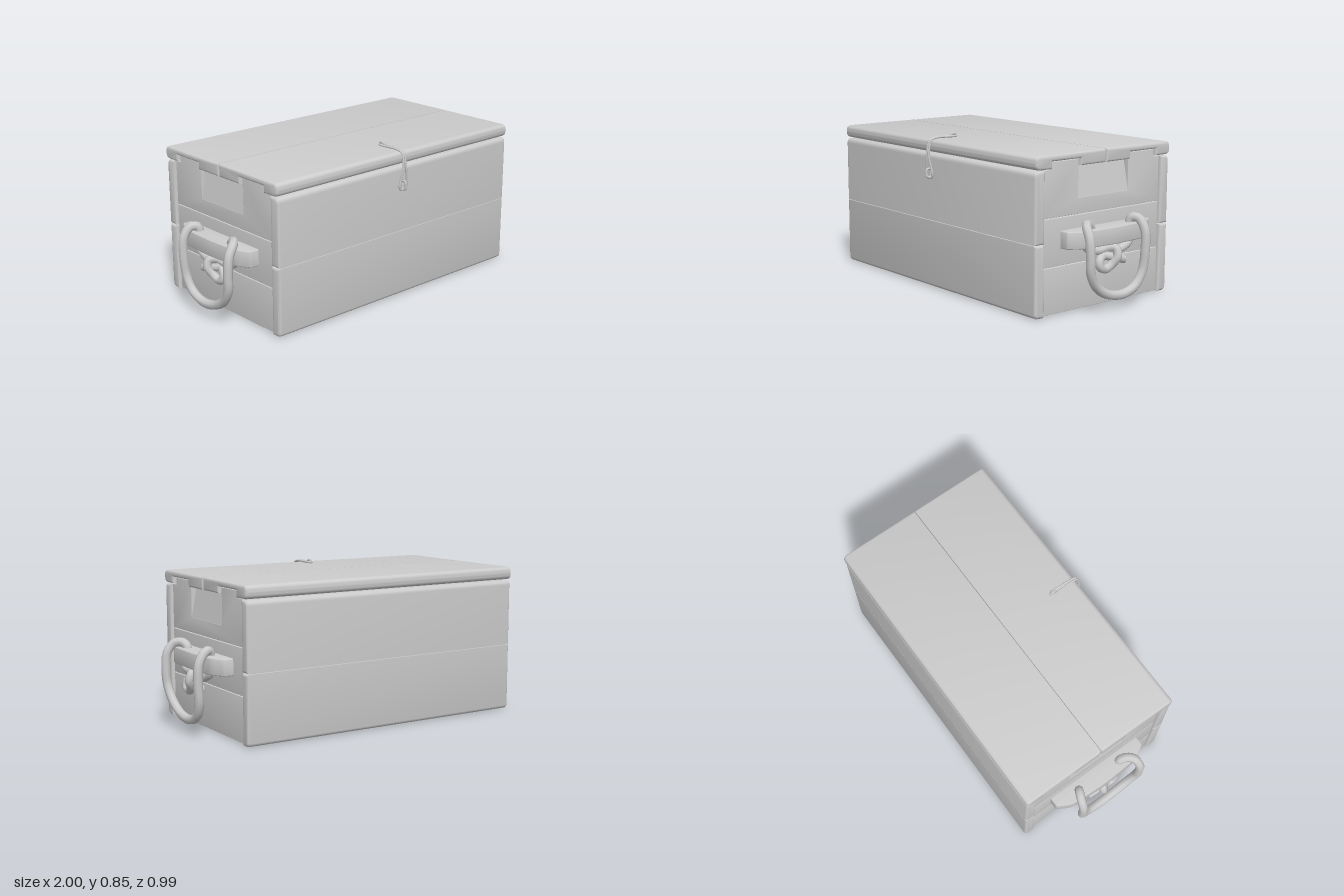
import * as THREE from 'three';
import { toCreasedNormals } from 'three/addons/utils/BufferGeometryUtils.js';

const grey = new THREE.MeshStandardMaterial({ color: 0xcccccc });
grey.name = 'plain grey';

function add(parent, name, geometry) {
  const mesh = new THREE.Mesh(geometry, grey);
  mesh.name = name;
  parent.add(mesh);
  return mesh;
}

// Outline from [u, v, radius] corners; radius 0 or missing stays sharp
function outline(corners) {
  const shape = new THREE.Shape();
  const n = corners.length;
  corners.forEach(([u, v, r = 0], i) => {
    const p = new THREE.Vector2(u, v);
    const toward = ([a, b]) => new THREE.Vector2(a, b).sub(p).setLength(r).add(p);
    const a = r ? toward(corners[(i + n - 1) % n]) : p;
    if (i === 0) shape.moveTo(a.x, a.y);
    else shape.lineTo(a.x, a.y);
    if (r) {
      const b = toward(corners[(i + 1) % n]);
      shape.quadraticCurveTo(u, v, b.x, b.y);
    }
  });
  shape.closePath();
  return shape;
}

// Extrusion centred on its depth, with its ends softened inside the outline
function extrude(corners, depth, bevel) {
  const geo = new THREE.ExtrudeGeometry(outline(corners), {
    depth: depth - 2 * bevel, curveSegments: 6, bevelEnabled: bevel > 0,
    bevelSize: bevel, bevelThickness: bevel, bevelOffset: -bevel, bevelSegments: 3,
  });
  geo.translate(0, 0, -(depth - 2 * bevel) / 2);
  return geo;
}

// Board running along x, with its cross-section given as [z, y, radius]
function board(parent, name, corners, x, width, bevel) {
  const geo = extrude(corners, width, bevel).rotateY(-Math.PI / 2);
  geo.translate(x, 0, 0);
  return add(parent, name, toCreasedNormals(geo, 0.7));
}

function tube(parent, name, points, radius, closed = false, steps = 6, sides = 8) {
  const path = new THREE.CatmullRomCurve3(points.map((p) => new THREE.Vector3(...p)), closed);
  return add(parent, name, new THREE.TubeGeometry(path, points.length * steps, radius, sides, closed));
}

function endAssembly(s) {
  const end = new THREE.Group();
  end.name = s > 0 ? 'leftEnd' : 'rightEnd';

  // End boards; the top one has two tabs and a cut-out between them
  const x = s * 0.81;
  for (const [lo, hi] of [[0.008, 0.248], [0.252, 0.498]]) {
    board(end, 'endBoard', [[-0.428, lo], [0.388, lo], [0.388, hi], [-0.428, hi]], x, 0.05, 0.002);
  }
  board(end, 'tabbedEndBoard', [
    [0.388, 0.502], [0.388, 0.745], [0.345, 0.745], [0.345, 0.783], [0.157, 0.783], [0.157, 0.585],
    [-0.198, 0.585], [-0.198, 0.783], [-0.385, 0.783], [-0.385, 0.745], [-0.428, 0.745], [-0.428, 0.502],
  ], x, 0.05, 0.002);

  // Sloping panel in the cut-out
  const ramp = extrude([[0.78, 0.58], [0.835, 0.585], [0.8, 0.755], [0.78, 0.755]]
    .map(([a, b]) => [s * a, b]), 0.355, 0);
  ramp.translate(0, 0, -0.0205);
  add(end, 'slopedPanel', ramp);

  // Cleat that holds the rope, tapered toward its ends
  const cleat = extrude([
    [0.82, -0.275], [0.885, -0.275, 0.008], [0.928, -0.2, 0.03], [0.94, 0.02, 0.05],
    [0.928, 0.24, 0.03], [0.885, 0.315, 0.008], [0.82, 0.315],
  ].map(([a, b, r]) => [s * a, b, r]), 0.09, 0.005);
  cleat.rotateX(-Math.PI / 2).translate(0, 0.385, 0);
  add(end, 'cleat', toCreasedNormals(cleat, 0.7));

  // Rope handle: over the cleat, hanging loop, and the knot below
  const m = (pts) => pts.map(([a, b, c]) => [s * a, b, c]);
  tube(end, 'ropeHandle', m([
    [0.885, 0.4, 0.11], [0.885, 0.437, 0.118], [0.9, 0.456, 0.155], [0.93, 0.448, 0.185],
    [0.965, 0.4, 0.198], [0.975, 0.3, 0.198], [0.97, 0.22, 0.19], [0.963, 0.15, 0.15],
    [0.96, 0.1, 0.08], [0.96, 0.078, 0], [0.96, 0.08, -0.07], [0.96, 0.11, -0.14],
    [0.966, 0.18, -0.182], [0.975, 0.3, -0.192], [0.967, 0.4, -0.193], [0.93, 0.452, -0.185],
    [0.895, 0.452, -0.168], [0.882, 0.4, -0.16],
  ]), 0.025);
  tube(end, 'ropeKnot', m([
    [0.89, 0.36, -0.168], [0.89, 0.325, -0.15], [0.895, 0.3, -0.09], [0.89, 0.297, -0.03],
    [0.895, 0.283, 0.03], [0.91, 0.255, 0.075], [0.915, 0.225, 0.07], [0.915, 0.213, 0.035],
    [0.925, 0.235, 0], [0.943, 0.275, -0.022], [0.93, 0.315, -0.022], [0.9, 0.318, 0.005],
    [0.89, 0.308, 0.06], [0.89, 0.322, 0.13], [0.89, 0.36, 0.16],
  ]), 0.023);
  const tail = [[0.89, 0.285, 0.05], [0.91, 0.272, 0], [0.915, 0.258, -0.05], [0.91, 0.244, -0.1]];
  tube(end, 'ropeTail', m(tail), 0.022);
  const tip = add(end, 'ropeTip', new THREE.SphereGeometry(0.022, 8, 6));
  tip.position.set(s * 0.91, 0.244, -0.1);
  tip.scale.z = 0.35;
  return end;
}

export function createModel() {
  const model = new THREE.Group();
  model.name = 'chest';

  // Inner body and floor
  const core = add(model, 'innerBody', new THREE.BoxGeometry(1.57, 0.725, 0.814));
  core.position.set(0, 0.3825, -0.02);

  // Two boards on the front and two on the back
  for (const [name, inner, outer] of [['frontBoard', 0.392, 0.455], ['backBoard', -0.432, -0.492]]) {
    board(model, name, [[inner, 0.002], [outer, 0.002, 0.028], [outer, 0.374], [inner, 0.374]], 0, 1.7, 0.014);
    board(model, name, [[inner, 0.377], [outer, 0.377], [outer, 0.744, 0.028], [inner, 0.744]], 0, 1.7, 0.014);
  }

  // Lid of two boards, notched underneath for the end tabs
  board(model, 'frontLidBoard', [
    [-0.018, 0.75], [0.155, 0.75], [0.155, 0.787], [0.347, 0.787], [0.347, 0.75],
    [0.455, 0.75, 0.03], [0.455, 0.82, 0.03], [-0.018, 0.82],
  ], 0, 1.71, 0.013);
  board(model, 'backLidBoard', [
    [-0.022, 0.75], [-0.196, 0.75], [-0.196, 0.787], [-0.387, 0.787], [-0.387, 0.75],
    [-0.495, 0.75, 0.03], [-0.495, 0.82, 0.03], [-0.022, 0.82],
  ], 0, 1.71, 0.013);

  model.add(endAssembly(1), endAssembly(-1));

  // Latch: a long wire link from the lid eye to the front eye
  const latch = new THREE.Group();
  latch.name = 'latch';
  const half = [
    [0.01, 0.828, 0.3], [0.01, 0.829, 0.35], [0.006, 0.828, 0.43], [0.006, 0.815, 0.464],
    [0.007, 0.775, 0.475], [0.01, 0.73, 0.48], [0.021, 0.67, 0.473], [0.026, 0.635, 0.47],
  ];
  const other = half.map(([x, y, z]) => [-x, y, z]).reverse();
  tube(latch, 'latchLink', [[0, 0.828, 0.288], ...half, [0.018, 0.615, 0.468], [-0.018, 0.615, 0.468], ...other],
    0.006, true);
  const eye = (name, y, z, h, w) => tube(latch, name, [
    [0, y - h, z - w], [0, y - h, z + w], [0, y, z + w * 1.2],
    [0, y + h, z + w], [0, y + h, z - w], [0, y, z - w * 1.2],
  ], 0.006, true);
  eye('lidEye', 0.828, 0.306, 0.011, 0.013);
  eye('frontEye', 0.64, 0.475, 0.02, 0.012);
  model.add(latch);
  return model;
}
